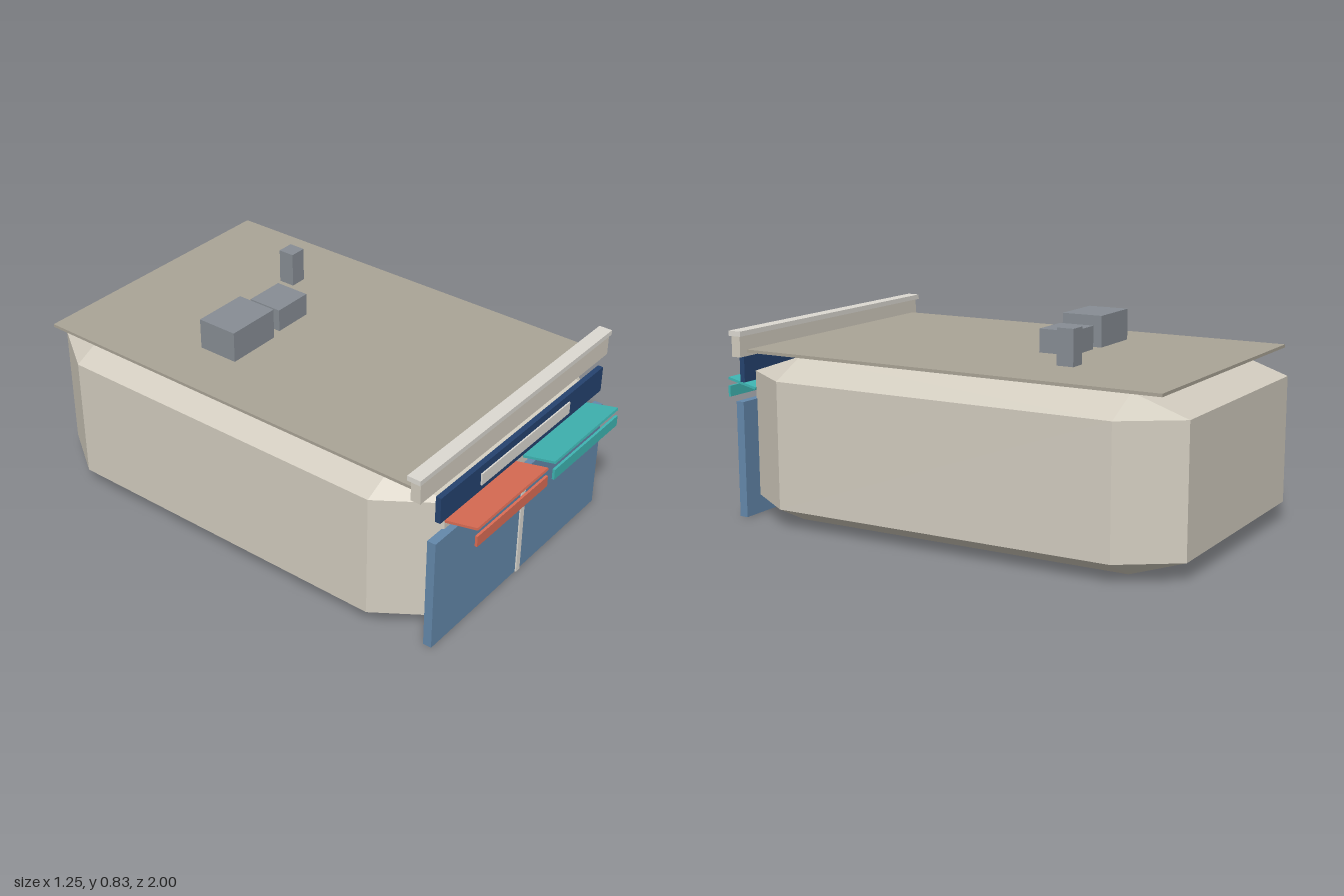
import * as THREE from 'three';
import { ConvexGeometry } from 'three/addons/geometries/ConvexGeometry.js';

const material = (color) => new THREE.MeshStandardMaterial({ color, flatShading: true });

// Box given by its [min, max] range on each axis
function box(name, [x0, x1], [y0, y1], [z0, z1], mat) {
  const mesh = new THREE.Mesh(new THREE.BoxGeometry(x1 - x0, y1 - y0, z1 - z0), mat);
  mesh.position.set((x0 + x1) / 2, (y0 + y1) / 2, (z0 + z1) / 2);
  mesh.name = name;
  return mesh;
}

// Box with every edge chamfered: three points at each corner
function chamferedBox(half, chamfer) {
  const points = [];
  for (const sx of [-1, 1]) for (const sy of [-1, 1]) for (const sz of [-1, 1]) {
    const sign = [sx, sy, sz];
    for (let full = 0; full < 3; full++) {
      const p = sign.map((s, i) => s * (half[i] - (i === full ? 0 : chamfer[i])));
      points.push(new THREE.Vector3(...p));
    }
  }
  return new ConvexGeometry(points);
}

// Awning: slab tilted up towards the street, with a hanging valance
function awning(name, [x0, x1], mat) {
  const group = new THREE.Group();
  group.name = name;
  const rise = 0.03, depth = 0.135;
  const slab = new THREE.Mesh(
    new THREE.BoxGeometry(x1 - x0, 0.01, Math.hypot(rise, depth)), mat);
  slab.name = name + 'Slab';
  slab.position.set((x0 + x1) / 2, 0.52, 0.931);
  slab.rotation.x = -Math.atan2(rise, depth);
  group.add(slab, box(name + 'Valance', [x0, x1], [0.46, 0.504], [0.99, 1], mat));
  return group;
}

export function createModel() {
  const model = new THREE.Group();
  model.name = 'shopBuilding';
  const beige = material(0xd2ccbf);
  const roofGrey = material(0xaaa496);
  const blue = material(0x6488ab);
  const navy = material(0x25436f);
  const pale = material(0xdcd9d2);
  const metal = material(0x878d94);

  // Main volume
  const body = new THREE.Mesh(chamferedBox([0.62, 0.3265, 0.93], [0.15, 0.075, 0.22]), beige);
  body.name = 'body';
  body.position.set(0, 0.3265, -0.07);
  model.add(body);

  // Roof slab and rooftop units
  model.add(box('roofSlab', [-0.58, 0.58], [0.67, 0.682], [-0.945, 0.81], roofGrey));
  const units = [
    [[-0.355, -0.125], 0.81, [-0.365, -0.195]],
    [[-0.075, 0.092], 0.778, [-0.355, -0.21]],
    [[0.24, 0.31], 0.826, [-0.47, -0.402]],
  ];
  units.forEach(([x, top, z], i) =>
    model.add(box('rooftopUnit' + (i + 1), x, [0.686, top], z, metal)));

  // Parapet with its cap
  model.add(box('parapet', [-0.615, 0.615], [0.655, 0.74], [0.815, 0.855], beige));
  model.add(box('parapetCap', [-0.625, 0.625], [0.738, 0.758], [0.805, 0.86], pale));

  // Shop front
  model.add(box('shopWindow', [-0.56, 0.56], [0, 0.467], [0.852, 0.887], blue));
  model.add(box('windowDivider', [-0.012, 0.012], [0, 0.467], [0.86, 0.893], pale));
  model.add(box('signBoard', [-0.535, 0.535], [0.54, 0.646], [0.863, 0.885], navy));
  model.add(box('signPanel', [-0.292, 0.292], [0.565, 0.614], [0.88, 0.891], pale));

  // Awnings
  model.add(awning('rightAwning', [-0.475, -0.025], material(0xdc6d55)));
  model.add(awning('leftAwning', [0.022, 0.472], material(0x3fb5b3)));

  return model;
}
